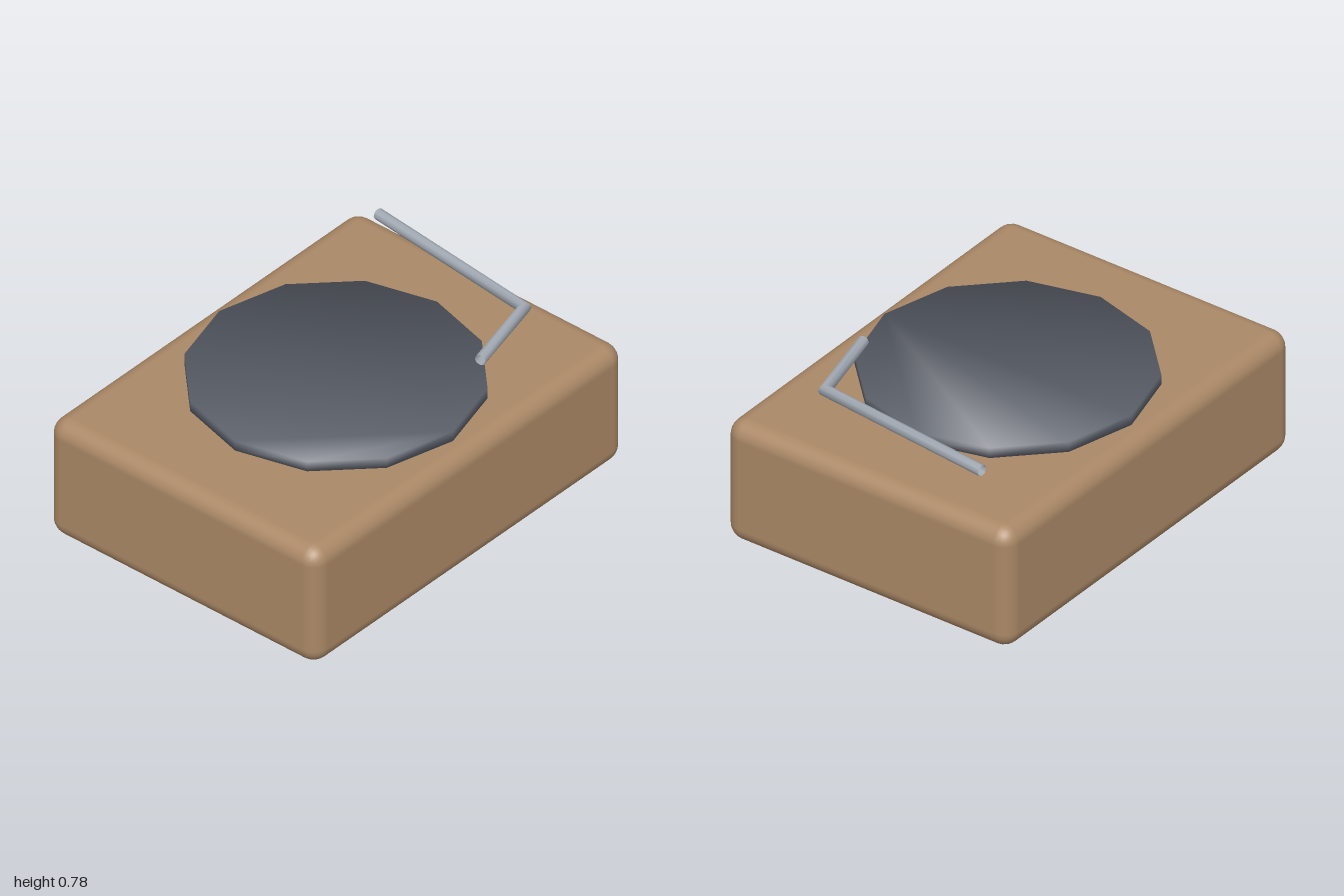
import * as THREE from 'three';
import { RoundedBoxGeometry } from 'three/addons/geometries/RoundedBoxGeometry.js';

function material(name, color, side = THREE.FrontSide) {
  const m = new THREE.MeshStandardMaterial({ color, side });
  m.name = name;
  return m;
}

function buffer(pos, nor, idx) {
  const g = new THREE.BufferGeometry();
  g.setAttribute('position', new THREE.Float32BufferAttribute(pos, 3));
  g.setAttribute('normal', new THREE.Float32BufferAttribute(nor, 3));
  g.setIndex(idx);
  return g;
}

// Twelve-sided disc whose rim normals are shared by caps and wall
function discGeometry(r, y0, y1, n) {
  const pos = [], nor = [], idx = [];
  for (const [y, up] of [[y0, -0.653], [y1, 0.653]]) {
    for (let i = 0; i < n; i++) {
      const a = (i / n) * Math.PI * 2, s = Math.sin(a), c = Math.cos(a);
      pos.push(r * s, y, r * c);
      nor.push(0.757 * s, up, 0.757 * c);
    }
  }
  for (let i = 0; i < n; i++) {
    const j = (i + 1) % n;
    idx.push(i, j, n + j, i, n + j, n + i);
    if (i > 0 && i < n - 1) idx.push(0, j, i, n, n + i, n + j);
  }
  return buffer(pos, nor, idx);
}

// Open round rod along a level path, mitred at the bends
function rodGeometry(path, r, sides) {
  const pos = [], nor = [], idx = [];
  path.forEach((p, k) => {
    const before = p.clone().sub(path[Math.max(k - 1, 0)]).normalize();
    const after = path[Math.min(k + 1, path.length - 1)].clone().sub(p).normalize();
    const t = before.clone().add(after).normalize();
    const across = new THREE.Vector3(-t.z, 0, t.x);
    const along = after.lengthSq() > 0 ? after : before;
    const stretch = 1 / along.dot(t);
    for (let i = 0; i < sides; i++) {
      const a = (i / sides) * Math.PI * 2, c = Math.cos(a), s = Math.sin(a);
      pos.push(p.x + across.x * r * c * stretch, p.y + r * s, p.z + across.z * r * c * stretch);
      nor.push(across.x * c, s, across.z * c);
    }
  });
  for (let k = 0; k < path.length - 1; k++) {
    for (let i = 0; i < sides; i++) {
      const j = (i + 1) % sides, a = k * sides, b = a + sides;
      idx.push(a + i, a + j, b + j, a + i, b + j, b + i);
    }
  }
  return buffer(pos, nor, idx);
}

export function createModel() {
  const group = new THREE.Group();
  group.name = 'turntable';
  const add = (name, geometry, mat) => {
    const mesh = new THREE.Mesh(geometry, mat);
    mesh.name = name;
    group.add(mesh);
    return mesh;
  };

  // Rounded wooden body
  add('body', new RoundedBoxGeometry(2, 0.6, 1.5, 3, 0.08), material('wood', 0xaa8866)).position.y = 0.3;

  // Platter resting on the body
  add('platter', discGeometry(0.65, 0.6, 0.65, 12), material('dark platter', 0x5c616b));

  // Bent arm hovering above the platter
  const path = [[0.85, -0.5], [0.75, 0.4], [0.35, 0.5]].map(([x, z]) => new THREE.Vector3(x, 0.755, z));
  add('toneArm', rodGeometry(path, 0.026, 8), material('steel', 0xa3abb5, THREE.DoubleSide));

  return group;
}
